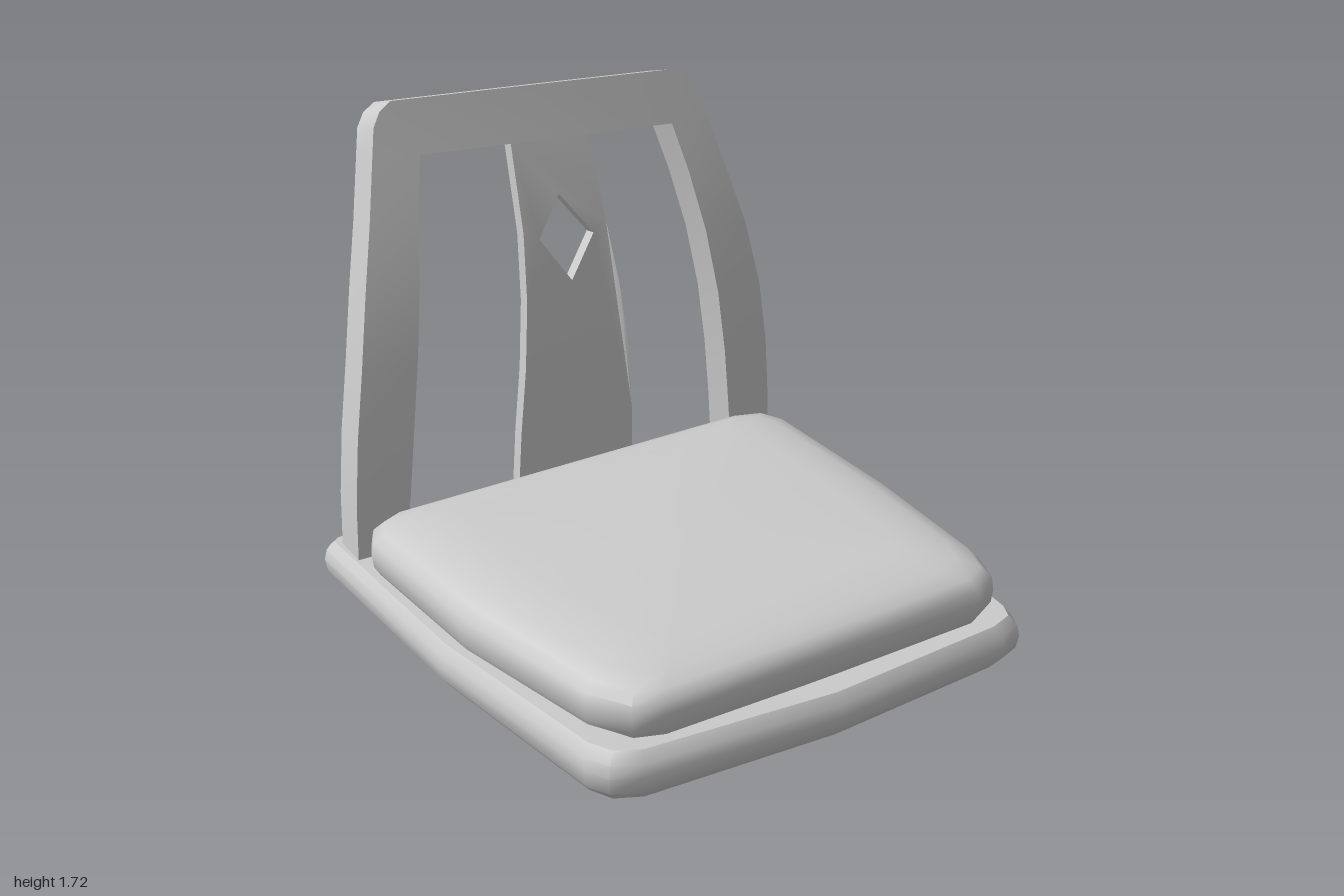
import * as THREE from 'three';
import { toCreasedNormals } from 'three/addons/utils/BufferGeometryUtils.js';

const { lerp, clamp } = THREE.MathUtils;
const material = new THREE.MeshStandardMaterial({ color: 0xcccccc, side: THREE.DoubleSide });

function part(name, geometry, crease) {
  const mesh = new THREE.Mesh(toCreasedNormals(geometry, crease), material);
  mesh.name = name;
  return mesh;
}

function fromTriangles(points) {
  const g = new THREE.BufferGeometry();
  g.setFromPoints(points);
  return g;
}

// Stack scaled copies of an x/z outline; rings are [y, inset], closed top and bottom
function slab(outline, rings, cz) {
  const n = outline.length;
  // the front corner on the right-hand side is warped slightly upwards
  const at = ([y, inset], i) => {
    const [x, z] = outline[i % n];
    const s = 1 - inset;
    const lift = 0.03 * clamp(-x / 0.78, 0, 1) * clamp((z - 0.2) / 0.7, 0, 1) * clamp(y / 0.08, 0.5, 1) * clamp((0.37 - y) / 0.1, 0, 1);
    return new THREE.Vector3(x * s, y + lift, cz + (z - cz) * s);
  };
  const first = rings[0], last = rings[rings.length - 1];
  const low = new THREE.Vector3(0, first[0], cz), high = new THREE.Vector3(0, last[0], cz);
  const tris = [];
  for (let i = 0; i < n; i++) {
    for (let r = 0; r < rings.length - 1; r++) {
      const a = at(rings[r], i), b = at(rings[r], i + 1);
      const c = at(rings[r + 1], i), d = at(rings[r + 1], i + 1);
      tris.push(a, c, b, b, c, d);
    }
    tris.push(low, at(first, i), at(first, i + 1), high, at(last, i + 1), at(last, i));
  }
  return fromTriangles(tris);
}

// Front surface of the backrest: leans back with height and twists across its width
const lean = [[0, -0.64], [0.5, -0.645], [0.9, -0.668], [1.2, -0.715], [1.5, -0.785], [1.75, -0.84]];
function bend(x, y, depth) {
  let i = 0;
  while (i < lean.length - 2 && y > lean[i + 1][0]) i++;
  const [y0, z0] = lean[i], [y1, z1] = lean[i + 1];
  const z = lerp(z0, z1, (y - y0) / (y1 - y0)) + x * lerp(-0.045, 0.06, y / 1.72);
  return new THREE.Vector3(x, y - depth * 0.25 * (y / 1.72) ** 2, z - depth);
}

// Arch of rectangular section; each station is [outer x, outer y, inner x, inner y]
function arch(stations, thickness) {
  const sections = stations.map(([xo, yo, xi, yi]) => [
    bend(xo, yo, 0), bend(xi, yi, 0), bend(xi, yi, thickness), bend(xo, yo, thickness),
  ]);
  const tris = [];
  for (let s = 0; s < sections.length - 1; s++) {
    const a = sections[s], b = sections[s + 1];
    for (let k = 0; k < 4; k++) {
      const m = (k + 1) % 4;
      tris.push(a[k], a[m], b[m], a[k], b[m], b[k]);
    }
  }
  return fromTriangles(tris);
}

export function createModel() {
  const group = new THREE.Group();

  // Seat base with a bulged edge
  const baseOutline = [
    [-0.93, -0.84], [0.86, -0.905], [0.925, -0.9], [0.945, -0.85], [0.95, 0.04], [0.86, 0.86],
    [0.83, 0.92], [0.74, 0.95], [0.04, 0.995], [-0.68, 0.97], [-0.77, 0.93], [-0.81, 0.85],
    [-0.915, 0.06], [-0.955, -0.81],
  ];
  group.add(part('seatBase', slab(baseOutline, [[0, 0.04], [0.04, 0.008], [0.085, 0], [0.125, 0.008], [0.16, 0.035]], 0.04), 0.75));

  // Padded cushion
  const cushionOutline = [
    [-0.86, -0.58], [-0.78, -0.62], [0.75, -0.68], [0.86, -0.645], [0.9, -0.55], [0.885, 0.13],
    [0.83, 0.7], [0.78, 0.83], [0.68, 0.88], [-0.57, 0.92], [-0.67, 0.89], [-0.75, 0.75],
    [-0.86, 0.13], [-0.9, -0.49],
  ];
  const cushionRings = [[0.15, 0.03], [0.19, 0.005], [0.24, 0], [0.285, 0.008], [0.32, 0.045], [0.345, 0.12], [0.362, 0.22], [0.37, 0.32]];
  group.add(part('cushion', slab(cushionOutline, cushionRings, 0.12), 0.9));

  // Back frame: right post, top rail, left post
  const stations = [
    [-0.905, 0.12, -0.72, 0.12], [-0.89, 0.36, -0.68, 0.36], [-0.86, 0.6, -0.645, 0.6],
    [-0.815, 0.85, -0.605, 0.85], [-0.765, 1.1, -0.565, 1.1], [-0.71, 1.33, -0.53, 1.33],
    [-0.66, 1.55, -0.49, 1.53], [-0.64, 1.64, -0.49, 1.53], [-0.61, 1.69, -0.49, 1.53], [-0.565, 1.72, -0.49, 1.53],
    [0, 1.712, 0, 1.52],
    [0.51, 1.703, 0.5, 1.51], [0.56, 1.69, 0.5, 1.51], [0.6, 1.65, 0.5, 1.51], [0.63, 1.58, 0.5, 1.51],
    [0.7, 1.36, 0.55, 1.33], [0.78, 1.1, 0.603, 1.1], [0.835, 0.85, 0.645, 0.85],
    [0.87, 0.6, 0.677, 0.6], [0.89, 0.36, 0.7, 0.36], [0.905, 0.12, 0.72, 0.12],
  ];
  group.add(part('backFrame', arch(stations, 0.145), 0.7));

  // Centre splat with a diamond cut-out
  const splat = new THREE.Shape([
    [-0.235, 0.12], [0.275, 0.12], [0.275, 0.45], [0.265, 0.7], [0.24, 0.95], [0.205, 1.2], [0.17, 1.53],
    [-0.13, 1.53], [-0.13, 1.2], [-0.145, 0.95], [-0.17, 0.7], [-0.205, 0.45],
  ].map(([x, y]) => new THREE.Vector2(x, y)));
  splat.holes.push(new THREE.Path([[0.03, 1.32], [-0.07, 1.17], [0.045, 1.0], [0.15, 1.16]].map(([x, y]) => new THREE.Vector2(x, y))));
  const splatGeometry = new THREE.ExtrudeGeometry(splat, { depth: 0.05, bevelEnabled: false });
  const p = splatGeometry.attributes.position;
  for (let i = 0; i < p.count; i++) {
    const v = bend(p.getX(i), p.getY(i), 0.09 - p.getZ(i));
    p.setXYZ(i, v.x, v.y, v.z);
  }
  group.add(part('backSplat', splatGeometry, 0.6));

  return group;
}
